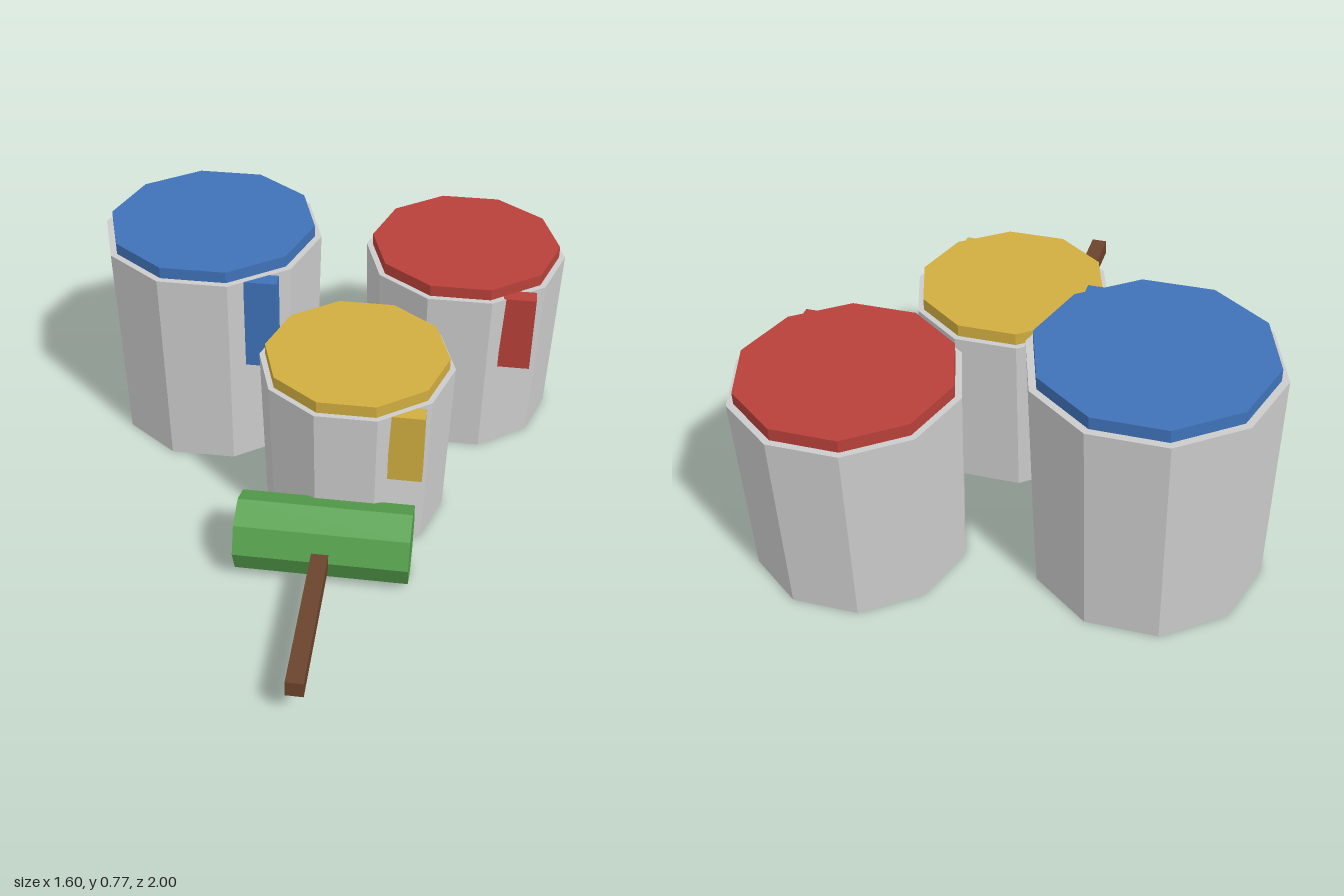
import * as THREE from 'three';

const paint = (color) => new THREE.MeshStandardMaterial({ color, flatShading: true });

function addMesh(parent, name, geometry, material, x, y, z) {
  const mesh = new THREE.Mesh(geometry, material);
  mesh.name = name;
  mesh.position.set(x, y, z);
  parent.add(mesh);
  return mesh;
}

// Ten-sided prism with corners pointing along x
const decagon = (top, bottom, height) =>
  new THREE.CylinderGeometry(top, bottom, height, 10, 1, false, Math.PI / 2);

// Tapered can, disc of paint on top and a drip running down the front
function createCan({ name, x, z, radius, height, color, drip }) {
  const can = new THREE.Group();
  can.name = name;
  can.position.set(x, 0, z);
  const metal = paint(0xcccccc);
  const colour = paint(color);
  const discHeight = 0.04;
  addMesh(can, 'canBody', decagon(radius, radius * 0.955, height), metal, 0, height / 2, 0);
  addMesh(can, 'paintSurface', decagon(radius * 0.94, radius * 0.94, discHeight), colour,
    0, height + discHeight / 2, 0);
  const dripWidth = 0.11;
  const dripDepth = 0.055;
  const dripHeight = height - drip.bottom;
  addMesh(can, 'paintDrip', new THREE.BoxGeometry(dripWidth, dripHeight, dripDepth), colour,
    drip.right - dripWidth / 2, drip.bottom + dripHeight / 2, drip.front - dripDepth / 2);
  return can;
}

// Eight-sided roller lying on the ground with a square handle towards the front
function createRoller() {
  const roller = new THREE.Group();
  roller.name = 'paintRoller';
  roller.position.set(0.084, 0.126, 0.351);
  const sleeve = new THREE.CylinderGeometry(0.126, 0.126, 0.56, 8).rotateZ(Math.PI / 2);
  addMesh(roller, 'rollerSleeve', sleeve, paint(0x55a04c), 0, 0, 0);
  addMesh(roller, 'rollerHandle', new THREE.BoxGeometry(0.055, 0.055, 0.6), paint(0x6b432c),
    0, 0, 0.347);
  return roller;
}

export function createModel() {
  const model = new THREE.Group();
  model.name = 'paintCansAndRoller';
  const cans = [
    { name: 'blueCan', x: -0.424, z: -0.498, radius: 0.38, height: 0.732, color: 0x3f72b8,
      drip: { right: 0.275, front: 0.326, bottom: 0.4 } },
    { name: 'redCan', x: 0.449, z: -0.664, radius: 0.351, height: 0.62, color: 0xb8403a,
      drip: { right: 0.256, front: 0.3, bottom: 0.341 } },
    { name: 'yellowCan', x: 0.138, z: -0.017, radius: 0.32, height: 0.562, color: 0xd0ac40,
      drip: { right: 0.243, front: 0.275, bottom: 0.312 } },
  ];
  for (const can of cans) model.add(createCan(can));
  model.add(createRoller());
  return model;
}
